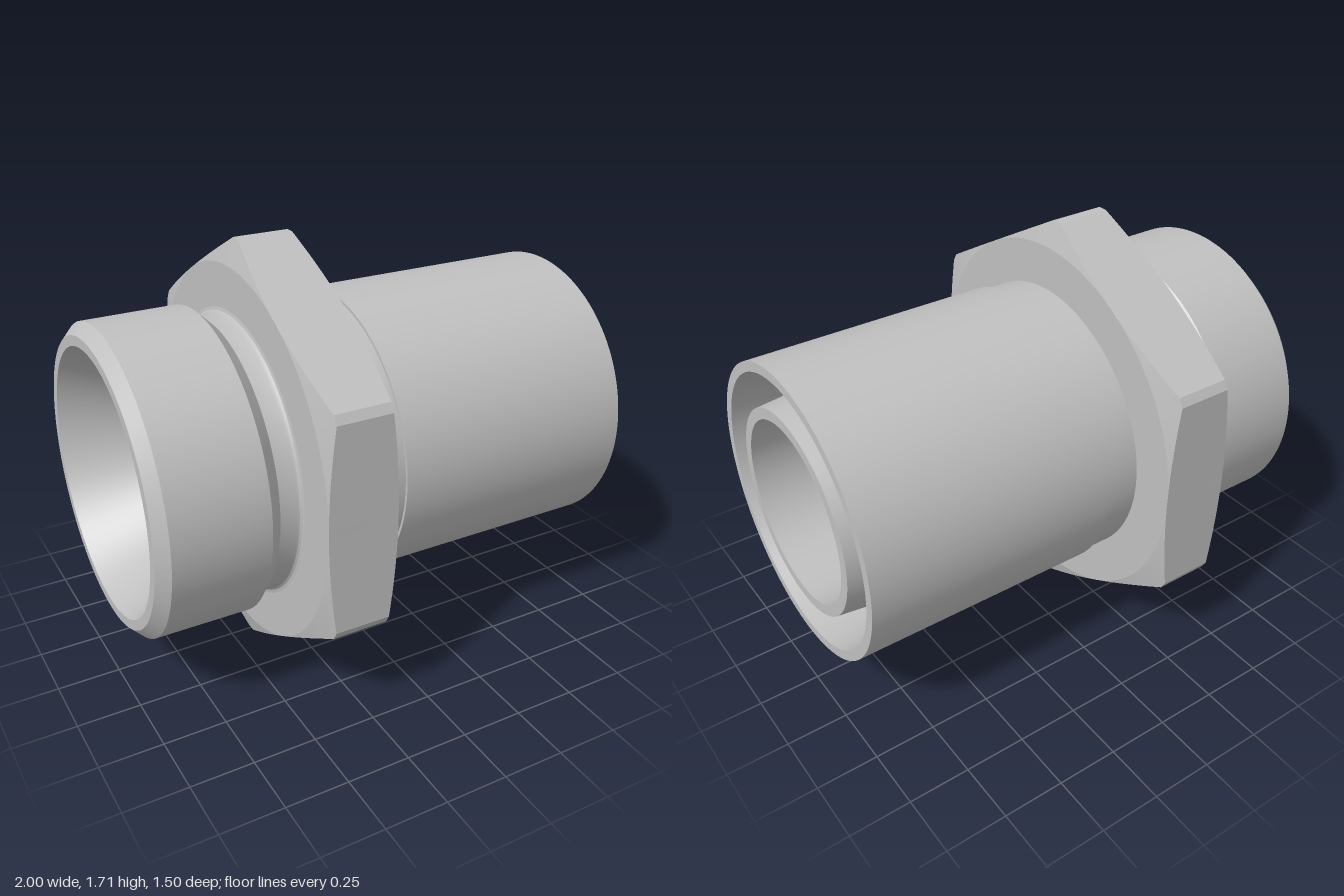
import * as THREE from 'three';
import { toCreasedNormals } from 'three/addons/utils/BufferGeometryUtils.js';

const AXIS_Y = 0.855;

// Revolve [x, radius] points around the x axis; run +x for outward-facing walls, -x for bores
function revolve(name, points, material) {
  const profile = points.map(([x, r]) => new THREE.Vector2(r, x));
  const geometry = new THREE.LatheGeometry(profile, 128);
  geometry.rotateZ(-Math.PI / 2);
  const mesh = new THREE.Mesh(toCreasedNormals(geometry, 0.35), material);
  mesh.name = name;
  return mesh;
}

// Hexagonal collar whose corners are turned down by a cone at both ends
function hexCollar(x0, x1, flat, corner, hub, chamfer, material) {
  const half = Math.acos(flat / corner);
  const angles = [];
  const steps = 28;
  for (let side = 0; side < 6; side++) {
    for (let i = 0; i <= steps; i++) {
      angles.push(side * Math.PI / 3 + half * (2 * i / steps - 1));
    }
  }
  // Each section runs from the left hub, over the flat, to the right hub
  const sections = angles.map((a) => {
    const offset = a - Math.round(a / (Math.PI / 3)) * Math.PI / 3;
    const r = flat / Math.cos(offset);
    const inset = Math.max(0.0005, chamfer * (r - flat) / (corner - flat));
    return [[x0, hub], [x0, flat], [x0 + inset, r], [x1 - inset, r], [x1, flat], [x1, hub]]
      .map(([x, rad]) => [x, rad * Math.sin(a), rad * Math.cos(a)]);
  });
  const positions = [];
  sections.forEach((s, i) => {
    const t = sections[(i + 1) % sections.length];
    for (let j = 0; j < s.length - 1; j++) {
      positions.push(...s[j], ...s[j + 1], ...t[j + 1], ...s[j], ...t[j + 1], ...t[j]);
    }
  });
  // Wind every triangle away from the collar's centre
  const a = new THREE.Vector3(), b = new THREE.Vector3(), c = new THREE.Vector3();
  const n = new THREE.Vector3(), mid = new THREE.Vector3((x0 + x1) / 2, 0, 0);
  for (let k = 0; k < positions.length; k += 9) {
    a.fromArray(positions, k);
    b.fromArray(positions, k + 3);
    c.fromArray(positions, k + 6);
    n.crossVectors(b.clone().sub(a), c.clone().sub(a));
    if (n.dot(a.clone().add(b).add(c).divideScalar(3).sub(mid)) < 0) {
      c.toArray(positions, k + 3);
      b.toArray(positions, k + 6);
    }
  }
  const geometry = new THREE.BufferGeometry();
  geometry.setAttribute('position', new THREE.Float32BufferAttribute(positions, 3));
  const mesh = new THREE.Mesh(toCreasedNormals(geometry, 0.2), material);
  mesh.name = 'hexCollar';
  return mesh;
}

export function createModel() {
  const steel = new THREE.MeshStandardMaterial({ color: 0xc0c0c0 });
  steel.name = 'steel grey';

  const group = new THREE.Group();
  group.name = 'pipeFitting';

  group.add(
    // Stud end with chamfers, undercut neck and a small fillet into the collar
    revolve('studEnd', [
      [-1, 0.52], [-1, 0.56], [-0.955, 0.605], [-0.58, 0.605], [-0.525, 0.552],
      [-0.46, 0.552], [-0.45, 0.555], [-0.443, 0.562], [-0.44, 0.575],
    ], steel),
    hexCollar(-0.44, -0.16, 0.75, 0.855, 0.5, 0.03, steel),
    revolve('neck', [[-0.17, 0.573], [-0.018, 0.573], [-0.018, 0.585]], steel),
    // Outer tube with its tapered inside wall and the groove floor
    revolve('outerTube', [
      [-0.018, 0.585], [1, 0.585], [1, 0.545], [0.7, 0.497], [0.7, 0.44],
    ], steel),
    // Tapered sleeve inside the tube
    revolve('innerSleeve', [[0.7, 0.44], [1, 0.41], [1, 0.365]], steel),
    // Through bore opening into a cone at the stud end
    revolve('bore', [[1, 0.365], [-0.67, 0.365], [-1, 0.52]], steel),
  );
  group.children.forEach((part) => { part.position.y = AXIS_Y; });
  return group;
}
